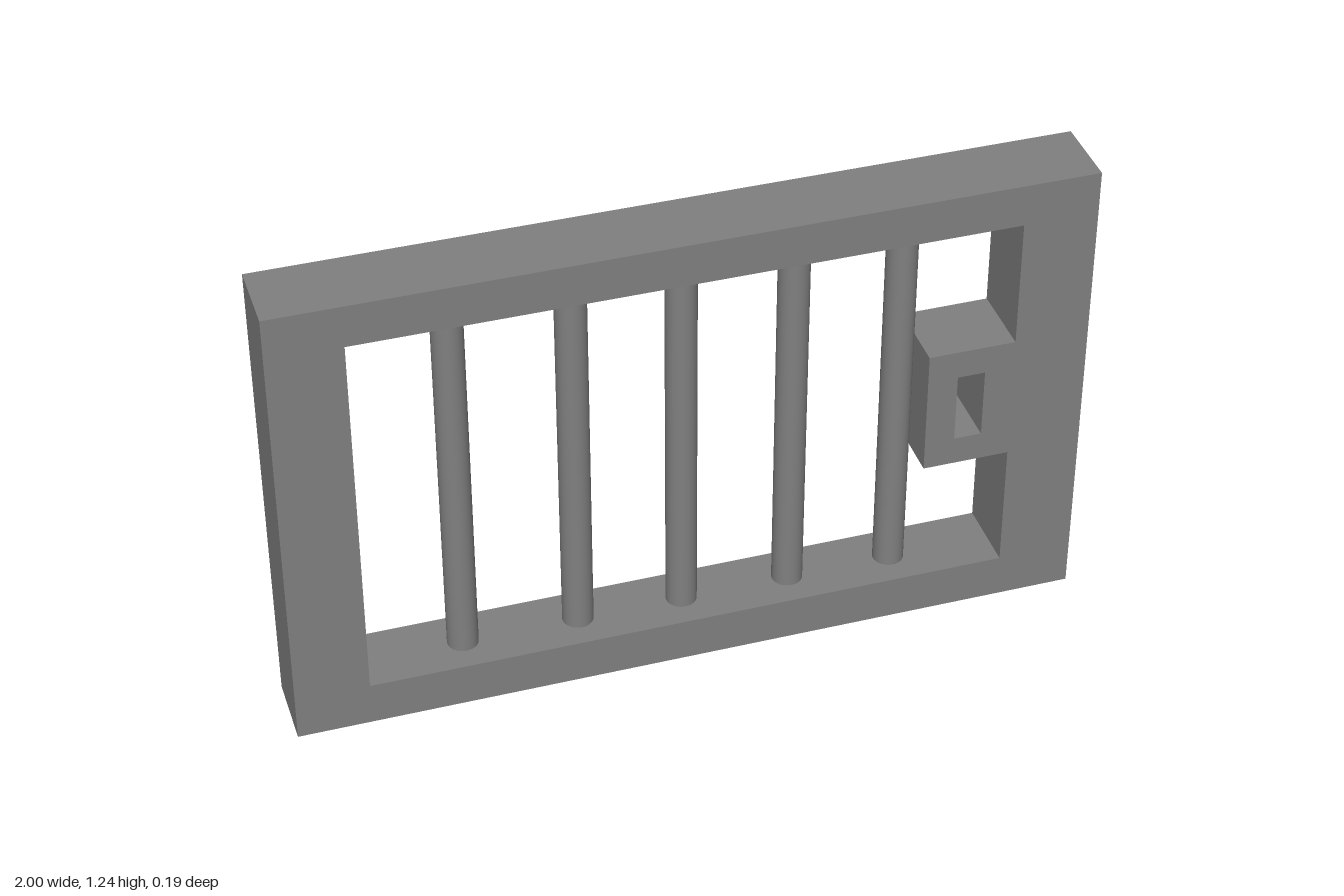
import * as THREE from 'three';

const DEPTH = 0.19;

// Traces a rectangle from its edges onto a shape or path
function rect(path, x0, y0, x1, y1) {
  path.moveTo(x0, y0);
  path.lineTo(x1, y0);
  path.lineTo(x1, y1);
  path.lineTo(x0, y1);
  path.closePath();
  return path;
}

// Rectangular plate with a rectangular opening, centred on z = 0
function openPlate(name, outer, inner, material) {
  const shape = rect(new THREE.Shape(), ...outer);
  shape.holes.push(rect(new THREE.Path(), ...inner));
  const geometry = new THREE.ExtrudeGeometry(shape, { depth: DEPTH, bevelEnabled: false });
  geometry.translate(0, 0, -DEPTH / 2);
  const mesh = new THREE.Mesh(geometry, material);
  mesh.name = name;
  return mesh;
}

export function createModel() {
  const group = new THREE.Group();
  group.name = 'barredGate';
  const iron = new THREE.MeshStandardMaterial({ color: 0x808080 });
  iron.name = 'iron grey';

  // Outer frame
  group.add(openPlate('frame', [-1, 0, 1, 1.235], [-0.815, 0.115, 0.812, 1.125], iron));

  // Lock block with a through slot, flush with the frame
  group.add(openPlate('lock', [0.592, 0.453, 0.812, 0.788], [0.668, 0.528, 0.738, 0.713], iron));

  // Upright bars, open-ended where they meet the frame
  const barGeometry = new THREE.CylinderGeometry(0.039, 0.039, 1.01, 32, 1, true);
  const bars = new THREE.Group();
  bars.name = 'bars';
  for (const x of [-0.56, -0.267, 0, 0.277, 0.546]) {
    const bar = new THREE.Mesh(barGeometry, iron);
    bar.name = 'bar';
    bar.position.set(x, 0.62, 0);
    bars.add(bar);
  }
  group.add(bars);

  return group;
}
